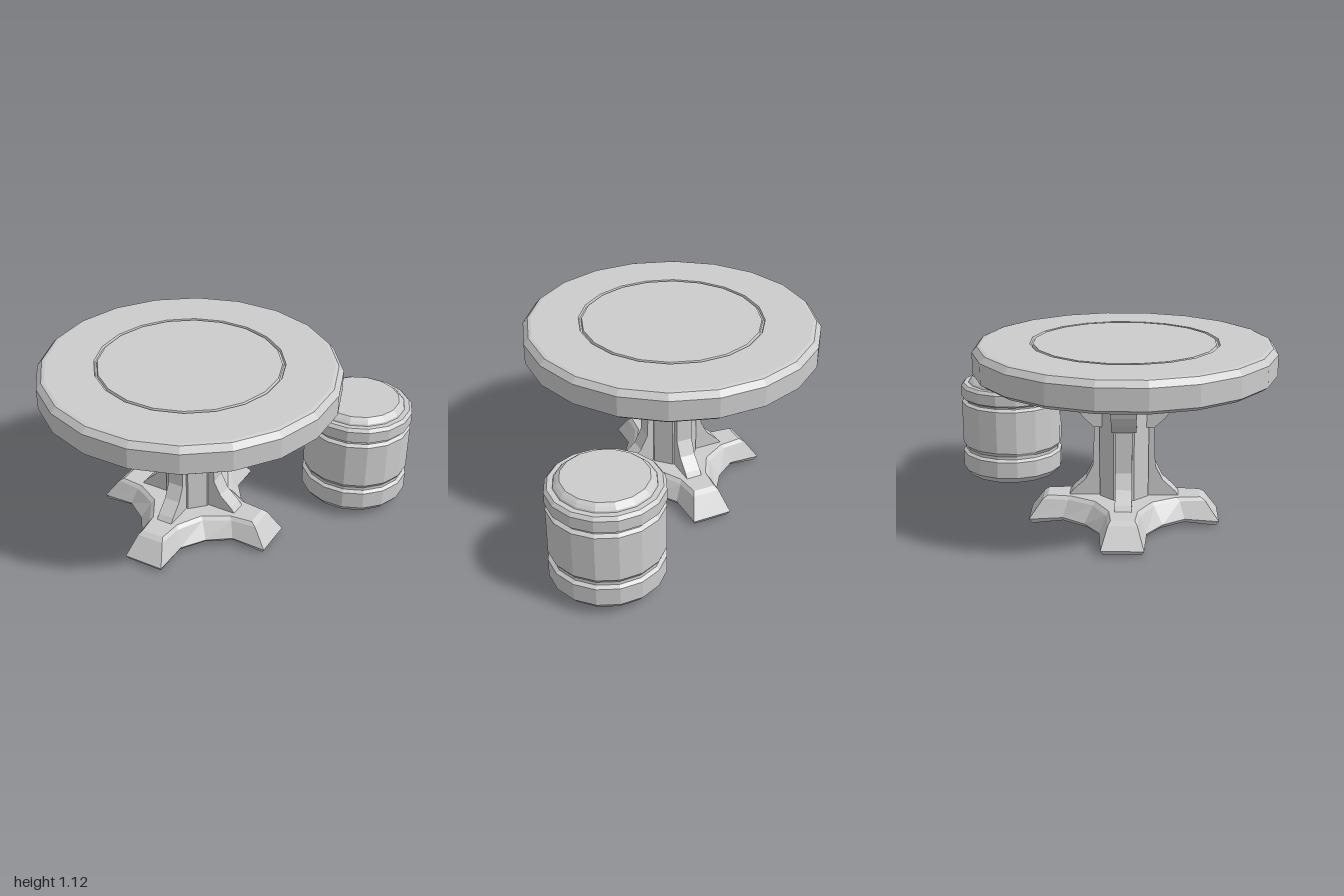
import * as THREE from 'three';

const material = new THREE.MeshStandardMaterial({ color: 0xcccccc, flatShading: true });

function addMesh(parent, name, geometry) {
  const mesh = new THREE.Mesh(geometry, material);
  mesh.name = name;
  parent.add(mesh);
  return mesh;
}

// Faceted turned solid with flat sides facing the axes
function turned(profile, sides) {
  const points = profile.map(([r, y]) => new THREE.Vector2(r, y));
  return new THREE.LatheGeometry(points, sides, Math.PI / sides);
}

// Closed solid through rings listed from bottom to top, each counterclockwise from above
function loft(rings) {
  const n = rings[0].length;
  const position = rings.flat(2);
  const index = [];
  for (let k = 0; k < rings.length - 1; k++) {
    for (let i = 0; i < n; i++) {
      const j = (i + 1) % n, a = k * n, b = a + n;
      index.push(a + i, a + j, b + j, a + i, b + j, b + i);
    }
  }
  const capCentre = (ring) => [0, 1, 2].map((c) => ring.reduce((s, p) => s + p[c], 0) / n);
  const last = (rings.length - 1) * n, bottom = rings.length * n, top = bottom + 1;
  position.push(...capCentre(rings[0]), ...capCentre(rings[rings.length - 1]));
  for (let i = 0; i < n; i++) {
    const j = (i + 1) % n;
    index.push(bottom, j, i, top, last + i, last + j);
  }
  const geometry = new THREE.BufferGeometry();
  geometry.setAttribute('position', new THREE.Float32BufferAttribute(position, 3));
  geometry.setIndex(index);
  geometry.computeVertexNormals();
  return geometry;
}

// Four-armed outline: foot end, waist of the foot and inner corner, repeated per quarter
function crossRing(end, endHalf, waist, waistHalf, corner, yEnd, yInner) {
  const quarter = [
    [waist, -waistHalf, yInner], [end, -endHalf, yEnd], [end, endHalf, yEnd],
    [waist, waistHalf, yInner], [corner, corner, yInner],
  ];
  const ring = [];
  for (let q = 0; q < 4; q++) {
    const c = Math.round(Math.cos(q * Math.PI / 2)), s = Math.round(Math.sin(q * Math.PI / 2));
    for (const [x, v, y] of quarter) ring.push([x * c - v * s, y, -(x * s + v * c)]);
  }
  return ring;
}

const armRing = (out, half, y) => [[out, y, half], [out, y, -half], [0.04, y, -half], [0.04, y, half]];

// Upright plate in the x-y plane, centred on z
function plate(points, thickness) {
  const shape = new THREE.Shape(points.map(([x, y]) => new THREE.Vector2(x, y)));
  const geometry = new THREE.ExtrudeGeometry(shape, { depth: thickness, bevelEnabled: false });
  return geometry.translate(0, 0, -thickness / 2);
}

function createTable() {
  const table = new THREE.Group();
  table.name = 'table';

  // Bevelled top with a shallow groove around the centre panel
  addMesh(table, 'tableTop', turned([
    [0, 0.93], [0.865, 0.93], [0.9, 0.955], [0.9, 1.08], [0.87, 1.115], [0.85, 1.12],
    [0.562, 1.12], [0.557, 1.105], [0.547, 1.105], [0.542, 1.12], [0, 1.12],
  ], 20));

  addMesh(table, 'column', turned([[0, 0.1], [0.16, 0.1], [0.16, 0.93], [0, 0.93]], 8));

  // Cross-shaped base with sloping feet
  addMesh(table, 'base', loft([
    crossRing(0.56, 0.11, 0.37, 0.12, 0.22, 0, 0.025),
    crossRing(0.58, 0.125, 0.37, 0.14, 0.235, 0.03, 0.05),
    crossRing(0.495, 0.085, 0.34, 0.1, 0.185, 0.15, 0.15),
    crossRing(0.465, 0.07, 0.32, 0.085, 0.17, 0.17, 0.17),
  ]));

  // Support arm, upper bracket and lower fin on each side of the column
  const armGeometry = loft([
    armRing(0.51, 0.1, 0.83), armRing(0.545, 0.13, 0.85), armRing(0.63, 0.17, 0.935),
  ]);
  const bracketGeometry = plate([
    [0.1, 0.61], [0.18, 0.61], [0.24, 0.665], [0.29, 0.73], [0.32, 0.84], [0.1, 0.84],
  ], 0.15);
  const finGeometry = plate([
    [0.1, 0.16], [0.34, 0.16], [0.31, 0.2], [0.235, 0.27], [0.19, 0.36], [0.18, 0.62], [0.1, 0.62],
  ], 0.1);
  for (let q = 0; q < 4; q++) {
    const support = new THREE.Group();
    support.name = 'support' + (q + 1);
    support.rotation.y = q * Math.PI / 2;
    addMesh(support, 'arm', armGeometry);
    addMesh(support, 'bracket', bracketGeometry);
    addMesh(support, 'fin', finGeometry);
    table.add(support);
  }
  return table;
}

function createStool() {
  const stool = new THREE.Group();
  stool.name = 'stool';

  // Drum body with two grooved bands
  addMesh(stool, 'body', turned([
    [0, 0.04], [0.305, 0.04], [0.338, 0.08], [0.338, 0.19], [0.318, 0.205], [0.318, 0.225],
    [0.336, 0.25], [0.336, 0.535], [0.315, 0.55], [0.315, 0.56], [0.338, 0.575],
    [0.338, 0.645], [0.32, 0.665], [0, 0.665],
  ], 16));

  // Low padded seat
  addMesh(stool, 'seat', turned([
    [0.29, 0.66], [0.285, 0.675], [0.27, 0.69], [0.25, 0.705], [0, 0.705],
  ], 16));
  return stool;
}

export function createModel() {
  const model = new THREE.Group();
  model.name = 'tableAndStool';
  const table = createTable();
  table.position.set(-0.11, 0, 0.11);
  const stool = createStool();
  stool.position.set(0.665, 0, -0.67);
  model.add(table, stool);
  return model;
}
